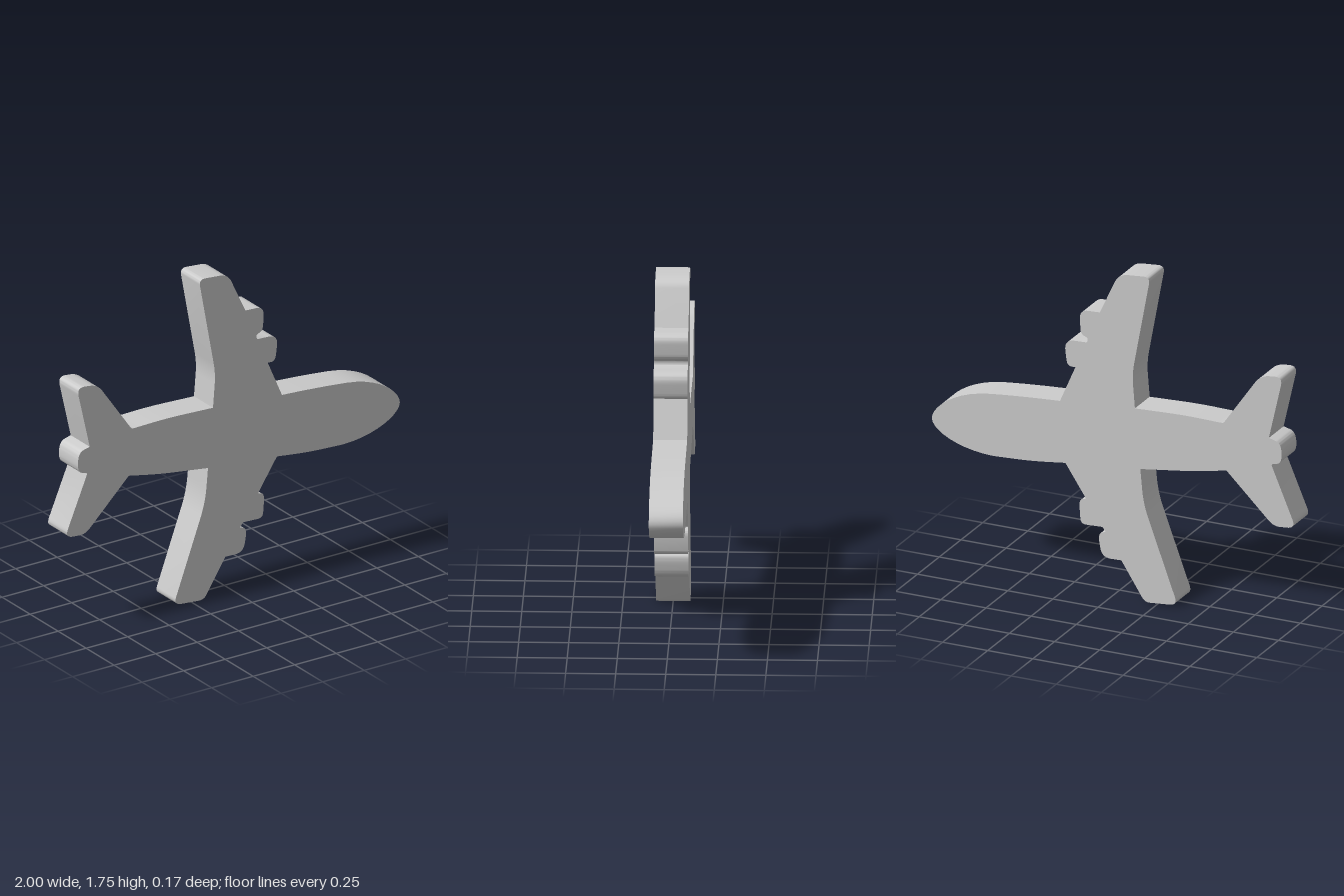
import * as THREE from 'three';
import { toCreasedNormals } from 'three/addons/utils/BufferGeometryUtils.js';

const THICKNESS = 0.17;

// Outline sections, counter-clockwise from the upper wing root: [x, y, corner radius]
const upperWing = [
  [0.29, 1.003, 0], [0.205, 1.2, 0],
  [0.25, 1.2, 0.035], [0.268, 1.34, 0.06],                      // inner engine
  [0.14, 1.345, 0.008], [0.135, 1.37, 0.01],
  [0.175, 1.385, 0.03], [0.183, 1.515, 0.05], [0.07, 1.52, 0],  // outer engine
  [-0.035, 1.745, 0.05], [-0.21, 1.76, 0.04],                   // tip
  [-0.11, 1.22, 0.06], [-0.125, 1.037, 0],
];
const tail = [
  [-0.4, 1.049, 0.1], [-0.585, 1.045, 0.02], [-0.615, 1.045, 0.01],
  [-0.82, 1.338, 0.05], [-0.945, 1.352, 0.05],                  // upper fin
  [-0.867, 1.01, 0], [-0.935, 0.993, 0.05], [-0.94, 0.885, 0.06], // tail cone
  [-0.88, 0.87, 0.01],
  [-1.017, 0.547, 0.05], [-0.893, 0.538, 0.035],                // lower fin
  [-0.632, 0.792, 0],
];
const lowerWing = [
  [-0.45, 0.755, 0.1], [-0.155, 0.715, 0], [-0.172, 0.53, 0.08],
  [-0.362, 0.016, 0.045], [-0.18, 0, 0.03],                     // tip
  [-0.05, 0.203, 0], [0.058, 0.2, 0.05], [0.08, 0.325, 0.05],   // outer engine
  [0.038, 0.342, 0], [0.055, 0.365, 0.006],
  [0.175, 0.36, 0.03], [0.185, 0.49, 0.04], [0.145, 0.5, 0.008], // inner engine
  [0.26, 0.674, 0],
];
const belly = [[0.45, 0.65, 0.15], [0.66, 0.64, 0]];

// Adds straight runs joined by rounded corners to a shape
function roundedRun(shape, pts) {
  pts.forEach(([x, y, r], i) => {
    const p = new THREE.Vector2(x, y);
    if (i === 0) { shape.moveTo(x, y); return; }
    if (!r || i === pts.length - 1) { shape.lineTo(x, y); return; }
    const toward = (q) => {
      const d = new THREE.Vector2(q[0], q[1]).sub(p);
      return d.clone().setLength(Math.min(r, d.length() * 0.48)).add(p);
    };
    const a = toward(pts[i - 1]);
    const b = toward(pts[i + 1]);
    shape.lineTo(a.x, a.y);
    shape.quadraticCurveTo(x, y, b.x, b.y);
  });
}

export function createModel() {
  const group = new THREE.Group();
  group.name = 'airplane';

  const shape = new THREE.Shape();
  roundedRun(shape, [...upperWing, ...tail, ...lowerWing, ...belly]);
  // Rounded nose, back to the upper wing root
  shape.bezierCurveTo(0.85, 0.642, 1.0, 0.72, 1.0, 0.785);
  shape.bezierCurveTo(1.0, 0.845, 0.88, 0.95, 0.68, 0.972);
  shape.quadraticCurveTo(0.52, 0.99, 0.29, 1.003);

  const geometry = new THREE.ExtrudeGeometry(shape, {
    depth: THICKNESS, bevelEnabled: false, curveSegments: 10,
  });
  geometry.translate(0, 0, -THICKNESS / 2);

  const body = new THREE.Mesh(
    toCreasedNormals(geometry, 0.5),
    new THREE.MeshStandardMaterial({ color: 0xcccccc }),
  );
  body.name = 'airplaneBody';
  group.add(body);
  return group;
}
